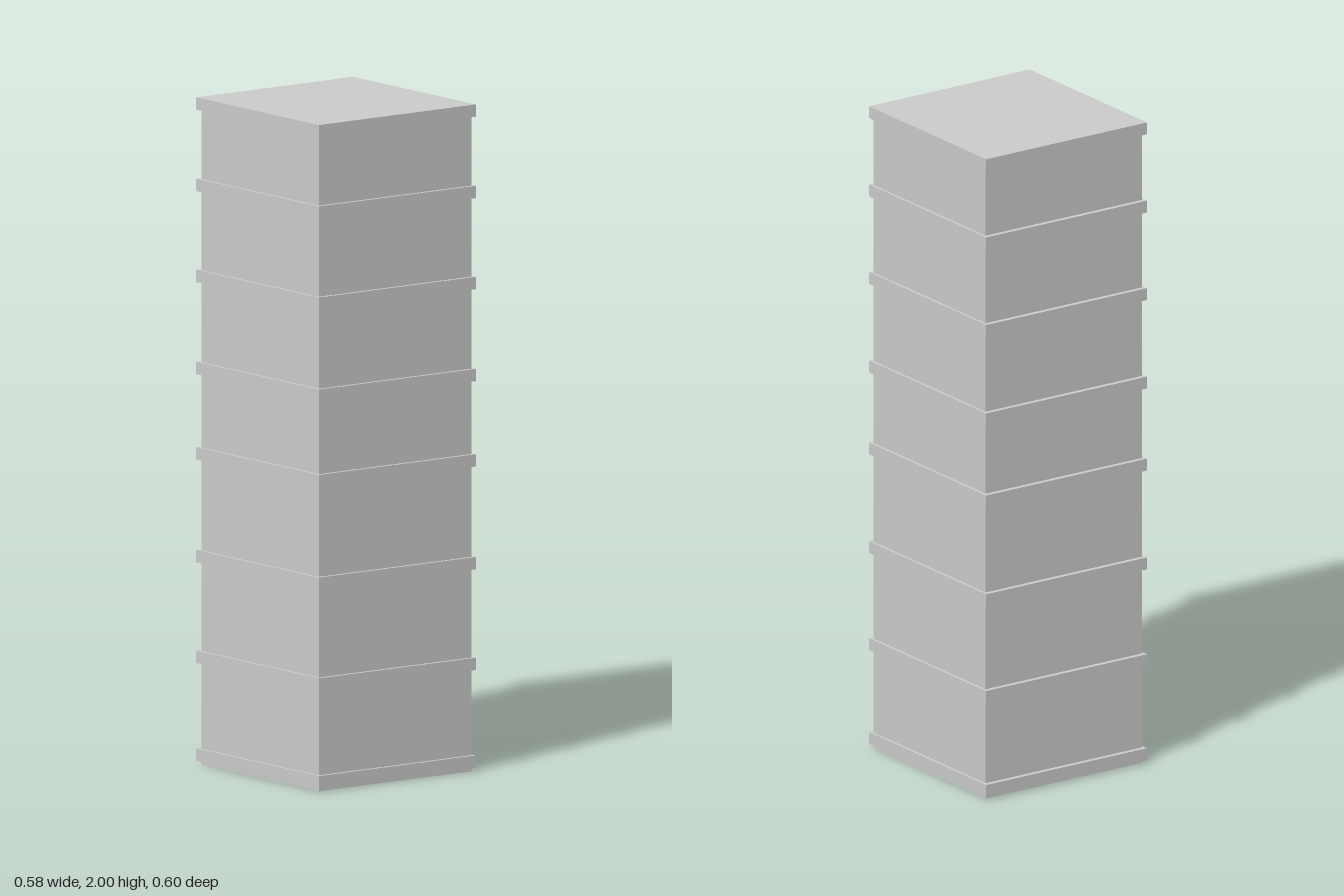
import * as THREE from 'three';

export function createModel() {
  const model = new THREE.Group();
  model.name = 'bandedTower';
  const material = new THREE.MeshStandardMaterial({ color: 0xcccccc, flatShading: true });

  // Box spanning the given heights
  function addBox(name, width, depth, bottom, top, z = 0) {
    const mesh = new THREE.Mesh(new THREE.BoxGeometry(width, top - bottom, depth), material);
    mesh.name = name;
    mesh.position.set(0, (bottom + top) / 2, z);
    model.add(mesh);
  }

  // Square shaft, its top just inside the uppermost band
  addBox('shaft', 0.566, 0.572, 0, 1.99, 0.002);

  // Thin projecting bands, bottom to top
  const bandHeight = 0.037;
  const bandBottoms = [0.011, 0.304, 0.606, 0.914, 1.17, 1.446, 1.719, 1.963];
  bandBottoms.forEach((y, i) => {
    addBox(`band${i + 1}`, 0.583, 0.597, y, y + bandHeight);
  });

  return model;
}
